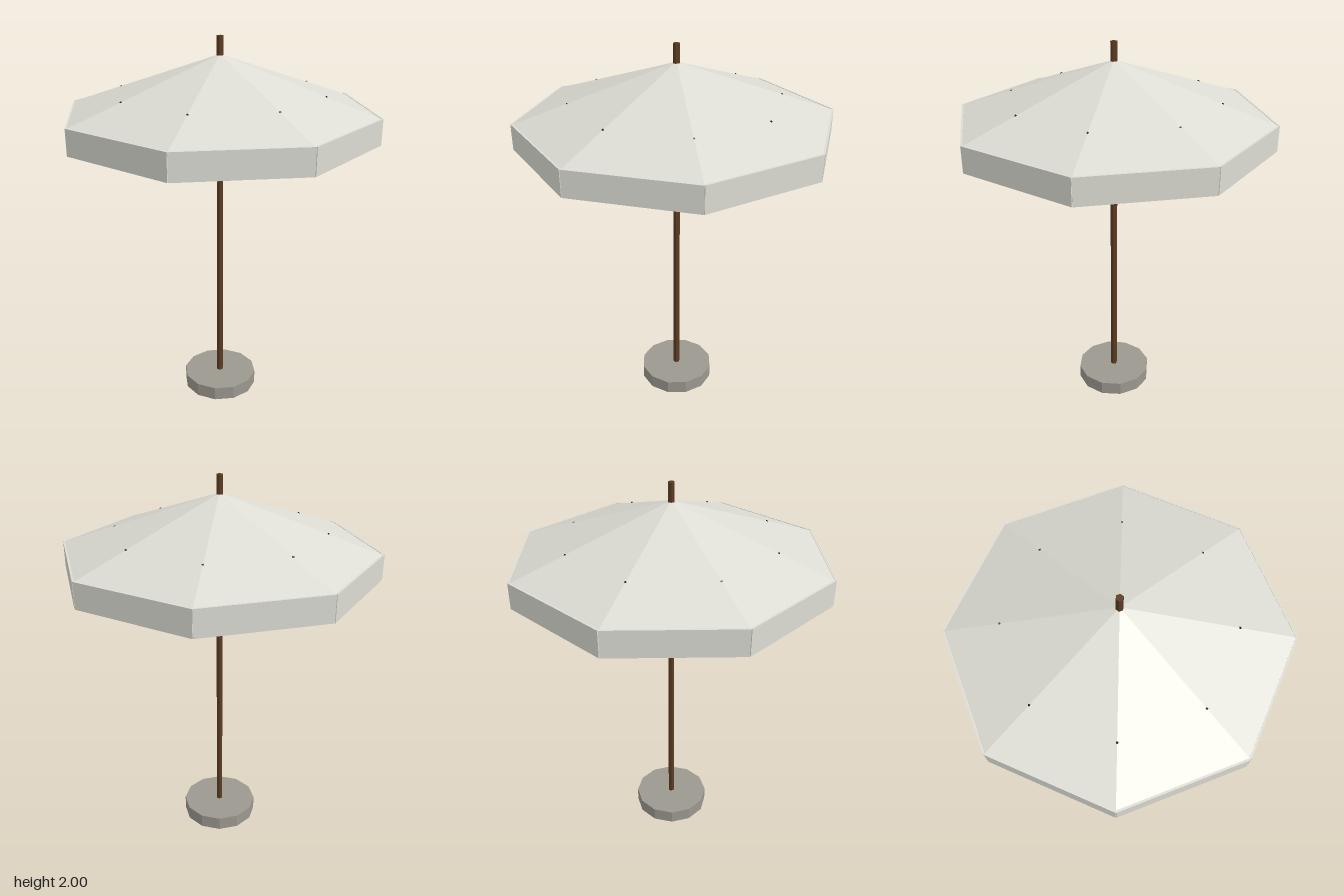
import * as THREE from 'three';

const SIDES = 8;
const APOTHEM = 0.75;
const CORNER = APOTHEM / Math.cos(Math.PI / SIDES);

function material(name, color, options = {}) {
  const m = new THREE.MeshStandardMaterial({ color, flatShading: true, ...options });
  m.name = name;
  return m;
}

export function createModel() {
  const group = new THREE.Group();
  group.name = 'parasol';

  const fabric = material('canvas', 0xdcdcd4, { side: THREE.DoubleSide });
  const wood = material('wood', 0x5c3c22);
  const stone = material('stone', 0x9c9890);
  const metal = material('dark metal', 0x20261f);

  function add(name, geometry, mat, parent = group) {
    const mesh = new THREE.Mesh(geometry, mat);
    mesh.name = name;
    parent.add(mesh);
    return mesh;
  }

  // Weighted base and pole
  add('base', new THREE.CylinderGeometry(0.205, 0.205, 0.075, 12), stone).position.y = 0.0375;
  add('pole', new THREE.CylinderGeometry(0.018, 0.018, 1.995, 6), wood).position.y = 1.0025;

  // Open eight-sided canopy, flats facing front, back and sides
  const canopy = add('canopy', new THREE.ConeGeometry(CORNER, 0.28, SIDES, 1, true), fabric);
  canopy.rotation.y = Math.PI / SIDES;
  canopy.position.y = 1.77;

  // Hanging valance panels and the struts reaching to each canopy seam
  const valance = new THREE.Group();
  valance.name = 'valance';
  const struts = new THREE.Group();
  struts.name = 'struts';
  group.add(valance, struts);

  const panelGeometry = new THREE.BoxGeometry(2 * APOTHEM * Math.tan(Math.PI / SIDES), 0.132, 0.01);
  const hub = new THREE.Vector3(0, 1.298, 0);
  for (let i = 0; i < SIDES; i++) {
    const a = (i / SIDES) * Math.PI * 2;
    const panel = add('valancePanel', panelGeometry, fabric, valance);
    panel.position.set(Math.sin(a) * APOTHEM, 1.568, Math.cos(a) * APOTHEM);
    panel.rotation.y = a;

    const b = a + Math.PI / SIDES;
    const tip = new THREE.Vector3(Math.sin(b) * 0.54, 1.726, Math.cos(b) * 0.54);
    const dir = tip.clone().sub(hub);
    const strut = add('strut', new THREE.CylinderGeometry(0.006, 0.006, dir.length(), 4), metal, struts);
    strut.position.copy(hub).add(tip).multiplyScalar(0.5);
    strut.quaternion.setFromUnitVectors(new THREE.Vector3(0, 1, 0), dir.normalize());
  }

  return group;
}
